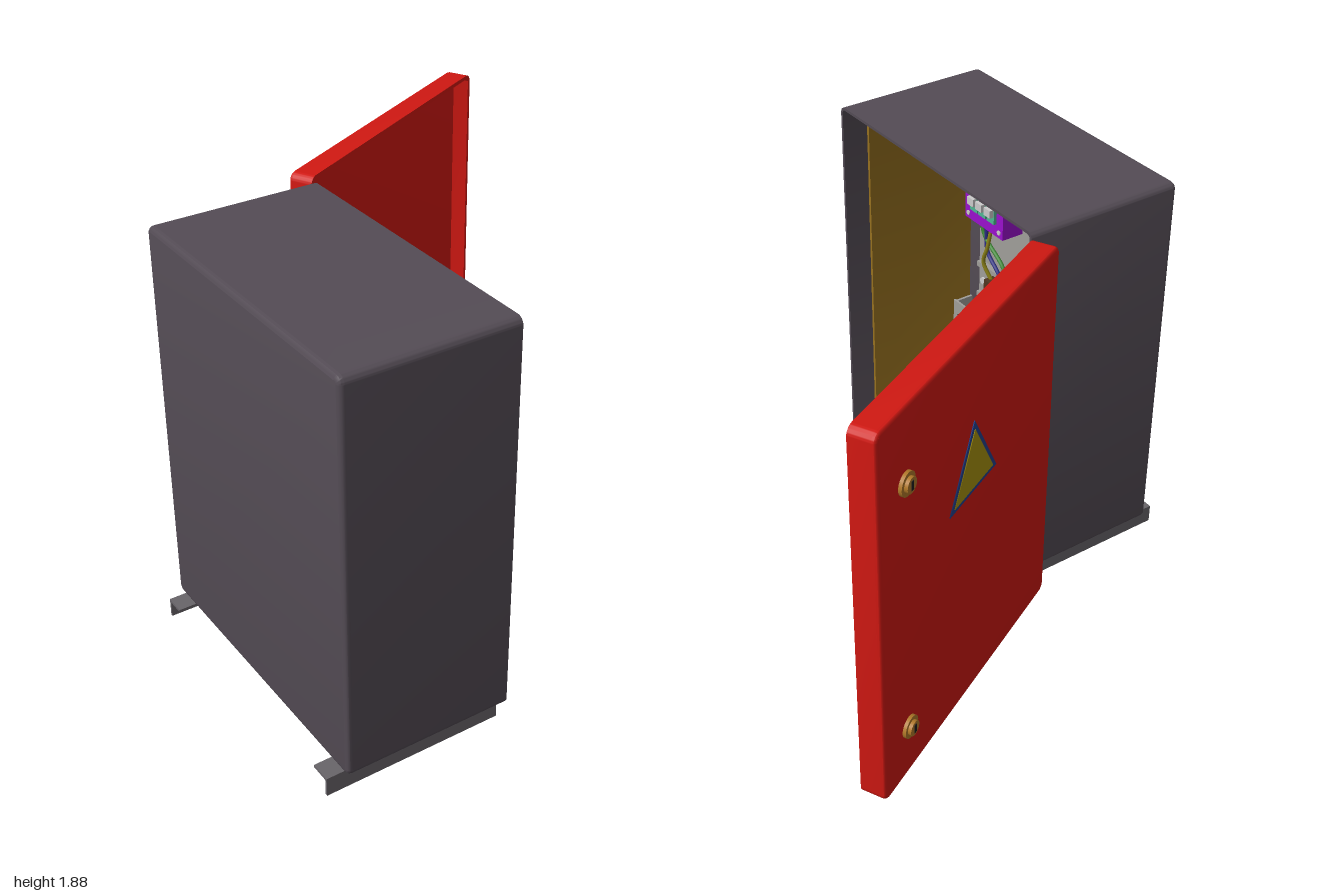
import * as THREE from 'three';
import { toCreasedNormals } from 'three/addons/utils/BufferGeometryUtils.js';

const C = {
  steel: 0x544c55, lining: 0x96701f, red: 0xd01812, plate: 0xa09e9a, foot: 0x69656a,
  purple: 0x9a10cc, brown: 0x4e3520, teal: 0x4fb592, black: 0x1c1c1e, metal: 0xcccccc,
  green: 0x3a8a30, blue: 0x2c2c86, yellow: 0x8c8218, brass: 0xb07828, hingeGreen: 0x50c030,
  hingePink: 0xb01fa0, sign: 0xa8920c, signEdge: 0x24408c, button: 0xd83050,
};
const mats = {};
const mat = c => (mats[c] ??= new THREE.MeshStandardMaterial({ color: c }));

function add(parent, name, geo, color, x = 0, y = 0, z = 0) {
  const m = new THREE.Mesh(geo, mat(color));
  m.name = name;
  m.position.set(x, y, z);
  parent.add(m);
  return m;
}

// Box given by its limits on each axis
function box(parent, name, color, x0, x1, y0, y1, z0, z1) {
  return add(parent, name, new THREE.BoxGeometry(x1 - x0, y1 - y0, z1 - z0), color,
    (x0 + x1) / 2, (y0 + y1) / 2, (z0 + z1) / 2);
}

function roundRect(path, x0, x1, y0, y1, r) {
  path.moveTo(x0 + r, y0);
  path.lineTo(x1 - r, y0).absarc(x1 - r, y0 + r, r, -Math.PI / 2, 0);
  path.lineTo(x1, y1 - r).absarc(x1 - r, y1 - r, r, 0, Math.PI / 2);
  path.lineTo(x0 + r, y1).absarc(x0 + r, y1 - r, r, Math.PI / 2, Math.PI);
  path.lineTo(x0, y0 + r).absarc(x0 + r, y0 + r, r, Math.PI, Math.PI * 1.5);
  return path;
}

function extrude(shape, depth, bevel = 0) {
  return toCreasedNormals(new THREE.ExtrudeGeometry(shape, {
    depth, curveSegments: 6, bevelEnabled: bevel > 0, bevelSize: bevel, bevelThickness: bevel,
    bevelOffset: -bevel, bevelSegments: 3,
  }), 0.6);
}

// Rounded frame: outer limits inset by a, wall thickness t
function frame([x0, x1, y0, y1], a, t, r, depth) {
  const s = roundRect(new THREE.Shape(), x0 + a, x1 - a, y0 + a, y1 - a, r);
  const b = a + t;
  s.holes.push(roundRect(new THREE.Path(), x0 + b, x1 - b, y0 + b, y1 - b, Math.max(r - t, 0.01)));
  return extrude(s, depth);
}

function plate(parent, name, color, pts, holes, z, depth) {
  const s = new THREE.Shape(pts.map(p => new THREE.Vector2(...p)));
  for (const [x0, x1, y0, y1] of holes) s.holes.push(roundRect(new THREE.Path(), x0, x1, y0, y1, 0.006));
  return add(parent, name, extrude(s, depth), color, 0, 0, z);
}

const rect = (x0, x1, y0, y1) => [[x0, y0], [x1, y0], [x1, y1], [x0, y1]];

function wire(parent, color, pts) {
  const curve = new THREE.CatmullRomCurve3(pts.map(p => new THREE.Vector3(...p)));
  add(parent, 'wire', new THREE.TubeGeometry(curve, 32, 0.009, 7), color);
}

// Disc or knob whose axis points along z
function disc(parent, name, color, r, depth, x, y, z, sides = 20) {
  return add(parent, name, new THREE.CylinderGeometry(r, r, depth, sides).rotateX(Math.PI / 2), color, x, y, z);
}

function buildCabinet(g) {
  const lim = [-0.99, 0.295, 0.275, 1.89];
  add(g, 'cabinetWalls', frame(lim, 0, 0.012, 0.03, 0.665), C.steel, 0, 0, -0.87);
  add(g, 'cabinetBack', extrude(roundRect(new THREE.Shape(), ...lim, 0.03), 0.001, 0.02), C.steel, 0, 0, -0.87);
  add(g, 'innerLining', frame(lim, 0.012, 0.014, 0.025, 0.53), C.lining, 0, 0, -0.85);
  box(g, 'glandPlate', C.steel, -0.72, 0.04, 0.266, 0.28, -0.70, -0.40);
  for (const x of [-0.69, -0.34, 0.01]) for (const z of [-0.67, -0.43])
    add(g, 'plateScrew', new THREE.CylinderGeometry(0.01, 0.01, 0.012, 8), C.metal, x, 0.264, z);
  // Angle feet, projecting behind the cabinet
  for (const [outer, inner] of [[-0.945, -0.865], [0.25, 0.17]]) {
    box(g, 'footFlange', C.foot, Math.min(outer, inner), Math.max(outer, inner), 0.263, 0.274, -0.955, -0.22);
    box(g, 'footWeb', C.foot, outer - 0.005, outer + 0.005, 0.195, 0.274, -0.955, -0.22);
  }
  // Cable glands in the floor
  const prof = [[0.02, 0.235], [0.048, 0.235], [0.065, 0.27], [0.065, 0.32], [0.055, 0.335], [0.02, 0.335]];
  for (const x of [-0.585, -0.34, -0.095]) {
    const geo = new THREE.LatheGeometry(prof.map(p => new THREE.Vector2(...p)), 20);
    add(g, 'cableGland', toCreasedNormals(geo, 0.5), C.black, x, 0, -0.55);
    add(g, 'glandCore', new THREE.CylinderGeometry(0.021, 0.021, 0.09, 12), C.black, x, 0.285, -0.55);
  }
}

// Grey carrier with folded edges and four fuse holders
function fuseBank(g, x0, x1, y0, y1, first) {
  box(g, 'fuseCarrier', C.plate, x0, x1, y0, y1, -0.805, -0.795);
  for (const y of [y0, y1 - 0.025]) box(g, 'carrierEdge', C.plate, x0, x1, y, y + 0.025, -0.805, -0.78);
  for (const x of [x0 + 0.035, x1 - 0.035]) disc(g, 'carrierScrew', C.metal, 0.016, 0.012, x, (y0 + y1) / 2, -0.79, 12);
  for (let i = 0; i < 4; i++) {
    const x = first + i * 0.067;
    box(g, 'fuseHolder', C.brown, x - 0.02, x + 0.02, y0 + 0.015, y1 - 0.02, -0.795, -0.73);
  }
}

function terminalRow(g, y) {
  plate(g, 'terminalPlate', C.plate, rect(-0.96, 0.265, y - 0.063, y + 0.063), [], -0.765, 0.01);
  for (const x of [-0.955, 0.25]) box(g, 'terminalBracket', C.plate, x, x + 0.012, y - 0.06, y + 0.06, -0.85, -0.76);
  box(g, 'terminalRail', C.black, -0.9, 0.185, y - 0.02, y + 0.02, -0.757, -0.735);
  for (let i = 0; i < 13; i++) {
    const x = -0.833 + i * 0.079;
    box(g, 'terminalBlock', C.teal, x - 0.028, x + 0.028, y - 0.05, y + 0.05, -0.757, -0.725);
    box(g, 'terminalClamp', C.metal, x - 0.024, x + 0.024, y - 0.02, y + 0.02, -0.73, -0.708);
  }
}

function buildEquipment(g) {
  // Slotted uprights
  for (const x of [-0.817, -0.019]) {
    const slots = [0.45, 0.81, 1.3, 1.72].map(y => [x + 0.04, x + 0.083, y - 0.045, y + 0.045]);
    plate(g, 'upright', C.plate, rect(x, x + 0.123, 0.315, 1.856), slots, -0.845, 0.015);
    box(g, 'uprightBracket', C.plate, x, x + 0.123, 1.80, 1.856, -0.85, -0.80);
  }
  // Mounting panel with clipped corner and two openings
  plate(g, 'mountingPanel', C.plate,
    [[-0.833, 0.856], [0.174, 0.856], [0.174, 1.71], [-0.426, 1.71], [-0.528, 1.797], [-0.833, 1.797]],
    [[-0.431, -0.233, 1.337, 1.631], [-0.431, -0.233, 1.059, 1.278]], -0.82, 0.014);
  fuseBank(g, -0.2, 0.153, 1.497, 1.68, -0.12);
  fuseBank(g, -0.2, 0.153, 1.225, 1.41, -0.12);
  fuseBank(g, -0.817, -0.356, 0.872, 1.053, -0.676);
  terminalRow(g, 0.722);
  terminalRow(g, 0.54);

  // Breaker box
  box(g, 'breakerBox', C.purple, -0.80, -0.528, 1.315, 1.695, -0.806, -0.70);
  for (const x of [-0.775, -0.553]) for (const y of [1.342, 1.67]) disc(g, 'breakerBoxScrew', C.metal, 0.011, 0.008, x, y, -0.699, 10);
  for (const x of [-0.72, -0.66, -0.598]) {
    box(g, 'breaker', C.teal, x - 0.025, x + 0.025, 1.375, 1.48, -0.70, -0.685);
    box(g, 'breakerToggle', C.metal, x - 0.022, x + 0.022, 1.41, 1.445, -0.69, -0.665);
  }
  // Relay and push button
  box(g, 'relay', C.purple, -0.126, -0.04, 0.914, 1.005, -0.806, -0.73);
  box(g, 'relayTab', C.purple, -0.145, -0.126, 0.94, 0.98, -0.806, -0.75);
  box(g, 'buttonBase', C.purple, 0.01, 0.136, 0.898, 1.03, -0.806, -0.775);
  disc(g, 'buttonStem', C.button, 0.045, 0.03, 0.073, 0.963, -0.765);
  disc(g, 'pushButton', C.button, 0.058, 0.025, 0.073, 0.963, -0.742, 24);
}

function buildWires(g) {
  const f = -0.76, b = -0.79, e = -0.55;
  wire(g, C.green, [[-0.764, 1.33, f], [-0.74, 1.23, f], [-0.60, 1.13, f], [-0.543, 1.02, f]]);
  wire(g, C.blue, [[-0.72, 1.33, f], [-0.715, 1.16, f], [-0.63, 1.08, f], [-0.61, 1.02, f]]);
  wire(g, C.yellow, [[-0.678, 1.33, f], [-0.69, 1.19, -0.74], [-0.715, 1.11, -0.74], [-0.676, 1.02, f]]);
  wire(g, C.green, [[-0.475, 1.02, f], [-0.40, 1.09, f], [-0.20, 1.165, f], [-0.12, 1.25, f]]);
  wire(g, C.green, [[-0.12, 1.52, f], [-0.08, 1.46, -0.74], [-0.01, 1.44, f], [0.013, 1.37, f]]);
  wire(g, C.yellow, [[-0.055, 1.52, f], [-0.10, 1.45, f], [-0.12, 1.37, f]]);
  wire(g, C.blue, [[0.013, 1.52, f], [0.02, 1.46, f], [0.07, 1.42, f], [0.08, 1.37, f]]);
  wire(g, C.green, [[0.013, 1.25, f], [0.008, 1.19, f], [0.035, 1.13, f]]);
  wire(g, C.blue, [[-0.055, 1.25, f], [-0.056, 1.12, f], [-0.19, 1.02, f], [-0.20, 0.95, f], [-0.13, 0.96, f]]);
  wire(g, C.yellow, [[-0.543, 0.89, f], [-0.51, 0.835, f], [-0.455, 0.85, f], [-0.475, 0.90, f]]);
  // Leads running behind the terminals, through the glands and out below
  wire(g, C.green, [[-0.676, 0.89, f], [-0.70, 0.76, b], [-0.69, 0.58, b], [-0.65, 0.43, -0.74], [-0.59, 0.33, e], [-0.588, 0.18, -0.58]]);
  wire(g, C.green, [[-0.61, 0.89, f], [-0.54, 0.76, b], [-0.48, 0.64, b], [-0.55, 0.50, b], [-0.60, 0.40, -0.72], [-0.54, 0.36, -0.6],
    [-0.40, 0.37, -0.57], [-0.19, 0.375, e], [-0.10, 0.32, e]]);
  wire(g, C.blue, [[-0.585, 0.36, e], [-0.588, 0.24, e], [-0.614, 0.15, -0.57]]);
  wire(g, C.yellow, [[-0.094, 0.92, f], [-0.126, 0.76, b], [-0.13, 0.60, b], [-0.11, 0.43, -0.72], [-0.10, 0.32, e],
    [-0.09, 0.15, -0.545], [-0.137, 0.01, -0.525]]);
  wire(g, C.blue, [[-0.045, 0.92, f], [-0.056, 0.76, b], [-0.05, 0.55, b], [-0.02, 0.38, -0.66], [-0.09, 0.32, e],
    [-0.08, 0.14, -0.53], [-0.03, 0.04, -0.505]]);
}

function buildDoor(g) {
  const lim = [0, 1.293, 0.275, 1.89];
  add(g, 'doorRim', frame(lim, 0, 0.016, 0.035, 0.085), C.red, 0, 0, -0.085);
  add(g, 'doorPanel', extrude(roundRect(new THREE.Shape(), ...lim, 0.035), 0.001, 0.015), C.red, 0, 0, -0.0855);
  // Locks
  for (const y of [0.51, 1.6]) {
    disc(g, 'lockCollar', C.brass, 0.045, 0.015, 1.12, y, -0.106, 24);
    disc(g, 'lockBarrel', C.brass, 0.03, 0.025, 1.12, y, -0.114, 24);
    box(g, 'lockSlot', C.black, 1.113, 1.127, y - 0.018, y + 0.018, -0.129, -0.12);
  }
  // Triangular warning plate
  const tri = (r, d) => new THREE.CylinderGeometry(r, r, d, 3).rotateX(-Math.PI / 2).rotateZ(Math.PI);
  for (const [name, r, d, c] of [['warningBorder', 0.2, 0.008, C.signEdge], ['warningPlate', 0.165, 0.013, C.sign]]) {
    const geo = tri(r, d);
    geo.computeBoundingBox();
    // Keep the apex upward
    if (geo.boundingBox.max.y < r * 0.9) geo.rotateZ(Math.PI);
    add(g, name, geo, c, 0.65, 1.34, -0.1);
  }
}

export function createModel() {
  const model = new THREE.Group();
  model.name = 'electricalCabinet';

  // Cabinet space: local x is -z, local z is x, so the opening faces local +z
  const cabinet = new THREE.Group();
  cabinet.name = 'cabinet';
  cabinet.rotation.y = Math.PI / 2;
  buildCabinet(cabinet);
  buildEquipment(cabinet);
  buildWires(cabinet);

  // Door swung open about the hinge line
  const door = new THREE.Group();
  door.name = 'door';
  door.position.set(-0.2, 0, -0.318);
  door.rotation.y = THREE.MathUtils.degToRad(27);
  buildDoor(door);

  model.add(cabinet, door);
  for (const y of [0.66, 1.45]) {
    const pin = () => new THREE.CylinderGeometry(0.012, 0.012, 0.069, 14);
    add(model, 'hingeLower', pin(), C.hingeGreen, -0.203, y + 0.0345, -0.306);
    add(model, 'hingeUpper', pin(), C.hingePink, -0.203, y + 0.1035, -0.306);
  }
  return model;
}
